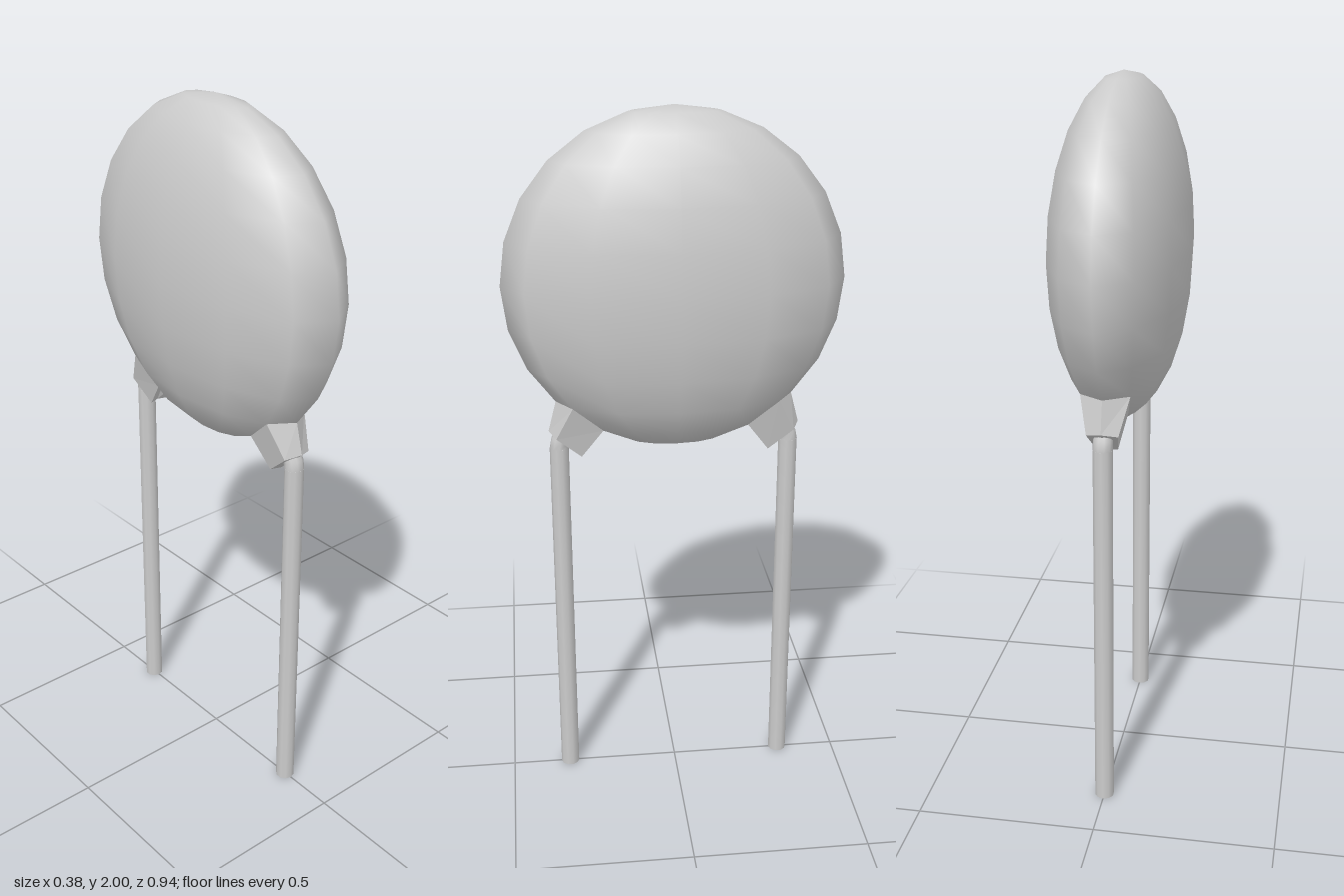
import * as THREE from 'three';

const grey = new THREE.MeshStandardMaterial({ color: 0xcccccc });
const R = 0.47, FLAT = 0.19 / R, CENTRE_Y = 1.53;

function part(name, geometry, parent) {
  const mesh = new THREE.Mesh(geometry, grey);
  mesh.name = name;
  parent.add(mesh);
  return mesh;
}

// Six-sided ring, symmetric in x; each corner is [x, y, z]
function ring(outer, outerSide, innerSide, inner) {
  const flip = ([x, y, z]) => [-x, y, z];
  return [outer, flip(outerSide), flip(innerSide), inner, innerSide, outerSide];
}

// Point on the body: angle up from the bottom, angle round from the z axis
function onBody(lat, lon) {
  const a = THREE.MathUtils.degToRad(lat), b = THREE.MathUtils.degToRad(lon);
  return [
    R * FLAT * Math.sin(a) * Math.sin(b),
    CENTRE_Y - R * Math.cos(a),
    R * Math.sin(a) * Math.cos(b),
  ];
}

// Tapered collar drawn out of two facets of the body
function collarGeometry() {
  const base = ring(onBody(45, 0), onBody(45, 30), onBody(30, 30), onBody(30, 0));
  const end = ring([0, 1.11, 0.355], [0.043, 1.1, 0.335], [0.03, 1.04, 0.265], [0, 1.04, 0.275]);
  const pos = [];
  for (let i = 0; i < 6; i++) {
    const j = (i + 1) % 6;
    pos.push(...base[i], ...base[j], ...end[j], ...base[i], ...end[j], ...end[i]);
    if (i > 0 && i < 5) pos.push(...end[0], ...end[i], ...end[j]);
  }
  const g = new THREE.BufferGeometry();
  g.setAttribute('position', new THREE.Float32BufferAttribute(pos, 3));
  g.computeVertexNormals();
  return g;
}

export function createModel() {
  const model = new THREE.Group();
  model.name = 'discComponent';

  // Flattened round body
  const body = part('body', new THREE.SphereGeometry(R, 12, 12), model);
  body.scale.x = FLAT;
  body.position.y = CENTRE_Y;

  // Two collars with straight wires that bend inwards at the top
  const collar = collarGeometry();
  const legZ = 0.327, bendY = 1.06, wire = 0.027;
  const straight = new THREE.CylinderGeometry(wire, wire, bendY, 10);
  straight.translate(0, bendY / 2, legZ);
  const bend = new THREE.TubeGeometry(
    new THREE.QuadraticBezierCurve3(
      new THREE.Vector3(0, bendY, legZ),
      new THREE.Vector3(0, 1.09, legZ),
      new THREE.Vector3(0, 1.14, 0.28)
    ), 5, wire, 10);
  for (const side of ['front', 'back']) {
    const lead = new THREE.Group();
    lead.name = side + 'Lead';
    part(side + 'Collar', collar, lead);
    part(side + 'Wire', straight, lead);
    part(side + 'WireBend', bend, lead);
    if (side === 'back') lead.rotation.y = Math.PI;
    model.add(lead);
  }
  return model;
}
